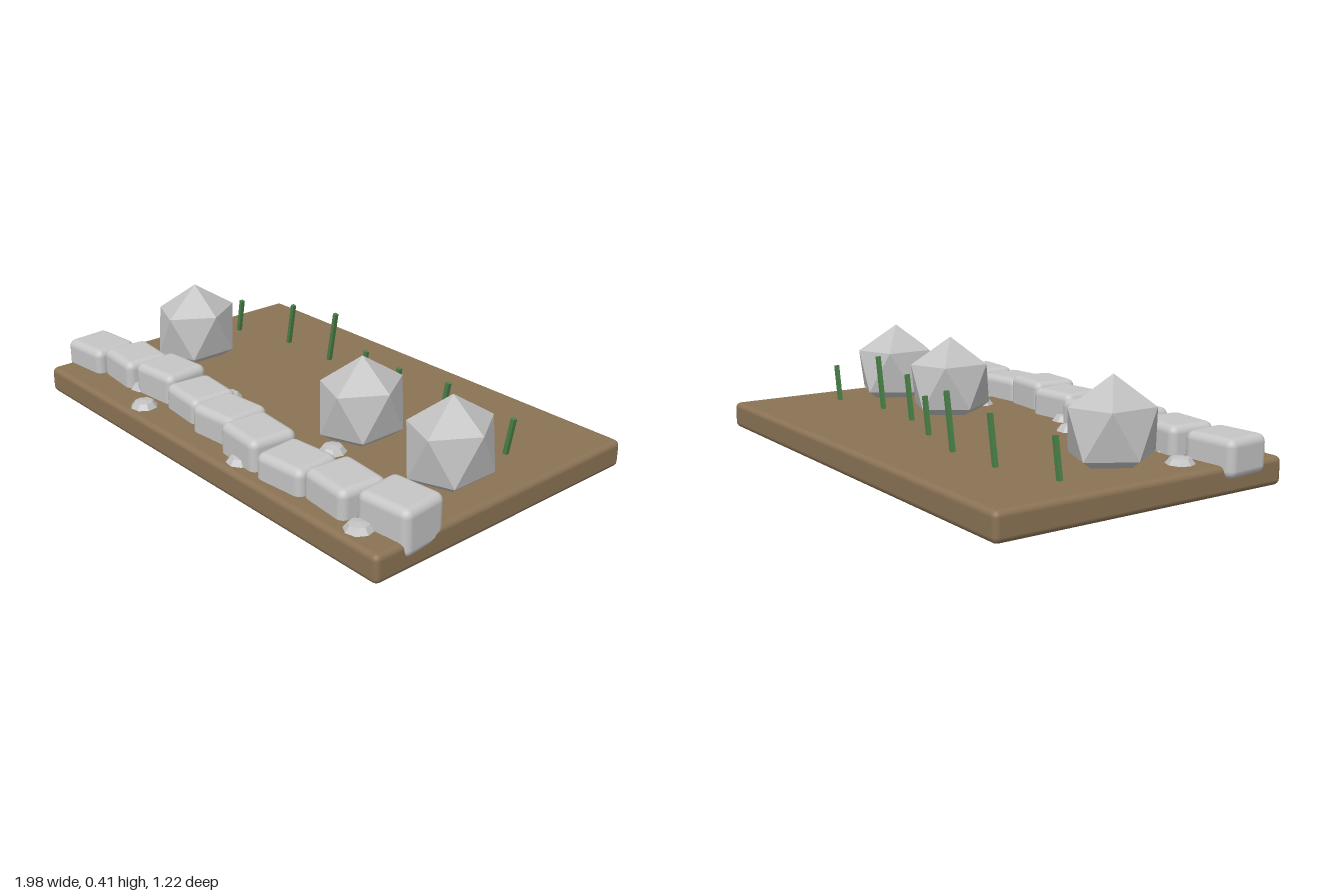
import * as THREE from 'three';
import { RoundedBoxGeometry } from 'three/addons/geometries/RoundedBoxGeometry.js';

export function createModel() {
  const group = new THREE.Group();
  const material = (name, color, flatShading = false) => {
    const m = new THREE.MeshStandardMaterial({ color, flatShading });
    m.name = name;
    return m;
  };
  const soil = material('soil brown', 0x8b7355);
  const stone = material('stone grey', 0xc6c6c6);
  const rock = material('rock grey', 0xc2c2c2, true);
  const green = material('stem green', 0x4a8048);

  const add = (name, geometry, mat, x, y, z) => {
    const mesh = new THREE.Mesh(geometry, mat);
    mesh.name = name;
    mesh.position.set(x, y, z);
    group.add(mesh);
    return mesh;
  };

  // Earth slab with softened edges
  add('base', new RoundedBoxGeometry(1.945, 0.105, 1.215, 2, 0.022), soil, 0.007, 0.0525, -0.003);

  // Wavy row of edging blocks, turned alternately; heights repeat in threes
  const blockZ = [0.41, 0.38, 0.365, 0.38, 0.41, 0.45, 0.46, 0.44, 0.405];
  blockZ.forEach((z, i) => {
    const top = 0.2 + (i % 3) * 0.01;
    const bottom = 0.06 - (i % 3) * 0.006;
    const geometry = new RoundedBoxGeometry(0.216, top - bottom, 0.19, 3, 0.03);
    const block = add('edgingBlock', geometry, stone, -0.88 + i * 0.2195, (top + bottom) / 2, z);
    block.rotation.y = i % 2 ? -0.09 : 0.09;
  });

  // Boulders: icosahedra standing on a vertex, one upper ring corner facing +x
  const boulder = new THREE.IcosahedronGeometry(1, 0);
  const apex = new THREE.Vector3().fromBufferAttribute(boulder.attributes.position, 0).normalize();
  boulder.applyQuaternion(new THREE.Quaternion().setFromUnitVectors(apex, new THREE.Vector3(0, 1, 0)));
  const p = boulder.attributes.position;
  for (let i = 0; i < p.count; i++) {
    if (p.getY(i) > 0.4 && p.getY(i) < 0.5) {
      boulder.rotateY(Math.atan2(p.getZ(i), p.getX(i)));
      break;
    }
  }
  boulder.scale(0.16, 0.192, 0.188);
  for (const x of [-0.697, 0.323, 0.762]) add('boulder', boulder, rock, x, 0.218, 0.058);

  // Flattened pebbles scattered on both sides of the blocks
  const profile = [[0, -0.032], [0.034, -0.028], [0.058, 0], [0.036, 0.028], [0, 0.033]]
    .map(([r, y]) => new THREE.Vector2(r, y));
  const pebble = new THREE.LatheGeometry(profile, 8);
  for (let i = 0; i < 12; i++) {
    const z = [0.235, 0.33, 0.43, 0.527][i % 4];
    const mesh = add('pebble', pebble, rock, -0.845 + i * 0.1512, 0.098, z);
    mesh.rotation.y = i * 0.7;
  }

  // Thin stems leaning towards +x; heights repeat in threes
  const stemZ = [-0.24, -0.312, -0.316, -0.25, -0.17, -0.152, -0.213];
  stemZ.forEach((z, i) => {
    const top = 0.25 + (i % 3) * 0.034;
    const geometry = new THREE.BoxGeometry(0.016, (top - 0.09) / Math.cos(0.18), 0.016);
    const stem = add('stem', geometry, green, -0.783 + i * 0.262, (top + 0.09) / 2, z);
    stem.rotation.z = -0.18;
  });

  return group;
}
